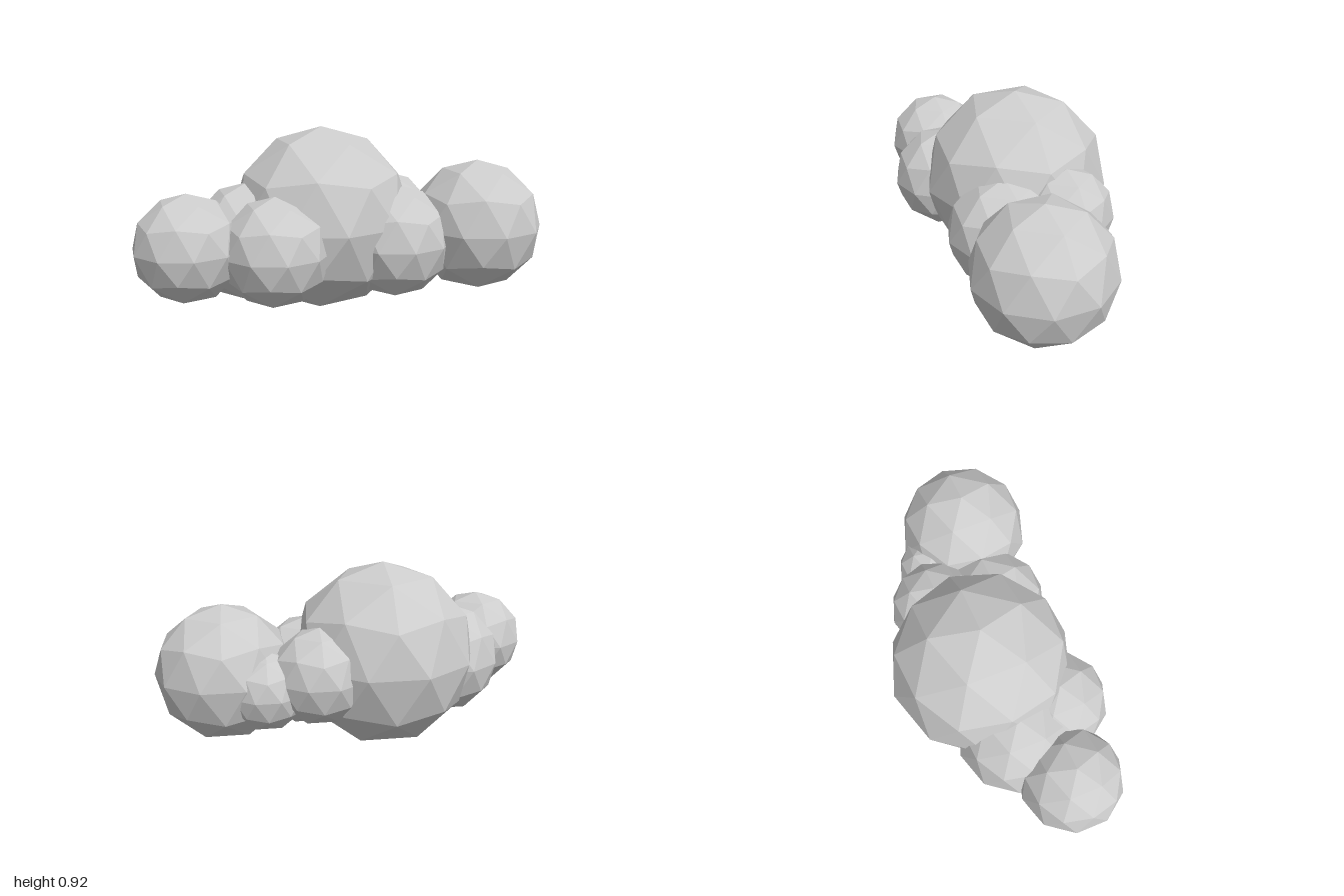
import * as THREE from 'three';

// Low-poly puff: icosphere with one vertex straight up and its upper ring pointing to +x
function puffGeometry(radius) {
  const golden = (1 + Math.sqrt(5)) / 2;
  return new THREE.IcosahedronGeometry(radius, 1).rotateZ(-Math.atan2(1, golden));
}

export function createModel() {
  const cloud = new THREE.Group();
  cloud.name = 'cloud';
  const cloudGrey = new THREE.MeshStandardMaterial({ color: 0xcccccc, flatShading: true });
  cloudGrey.name = 'cloudGrey';

  // name, radius, centre x, y, z
  const puffs = [
    ['mainPuff', 0.458, -0.07, 0.462, -0.042],
    ['leftPuff', 0.33, 0.685, 0.42, 0.157],
    ['rightPuff', 0.255, -0.757, 0.4, 0.15],
    ['frontRightPuff', 0.26, -0.37, 0.375, 0.24],
    ['backRightPuff', 0.29, -0.45, 0.375, -0.01],
    ['frontLeftPuff', 0.28, 0.25, 0.365, 0.15],
    ['backLeftPuff', 0.233, 0.313, 0.428, -0.135],
    ['smallBackPuff', 0.19, 0.55, 0.37, -0.06],
  ];
  for (const [name, radius, x, y, z] of puffs) {
    const puff = new THREE.Mesh(puffGeometry(radius), cloudGrey);
    puff.name = name;
    puff.position.set(x, y, z);
    cloud.add(puff);
  }
  return cloud;
}
